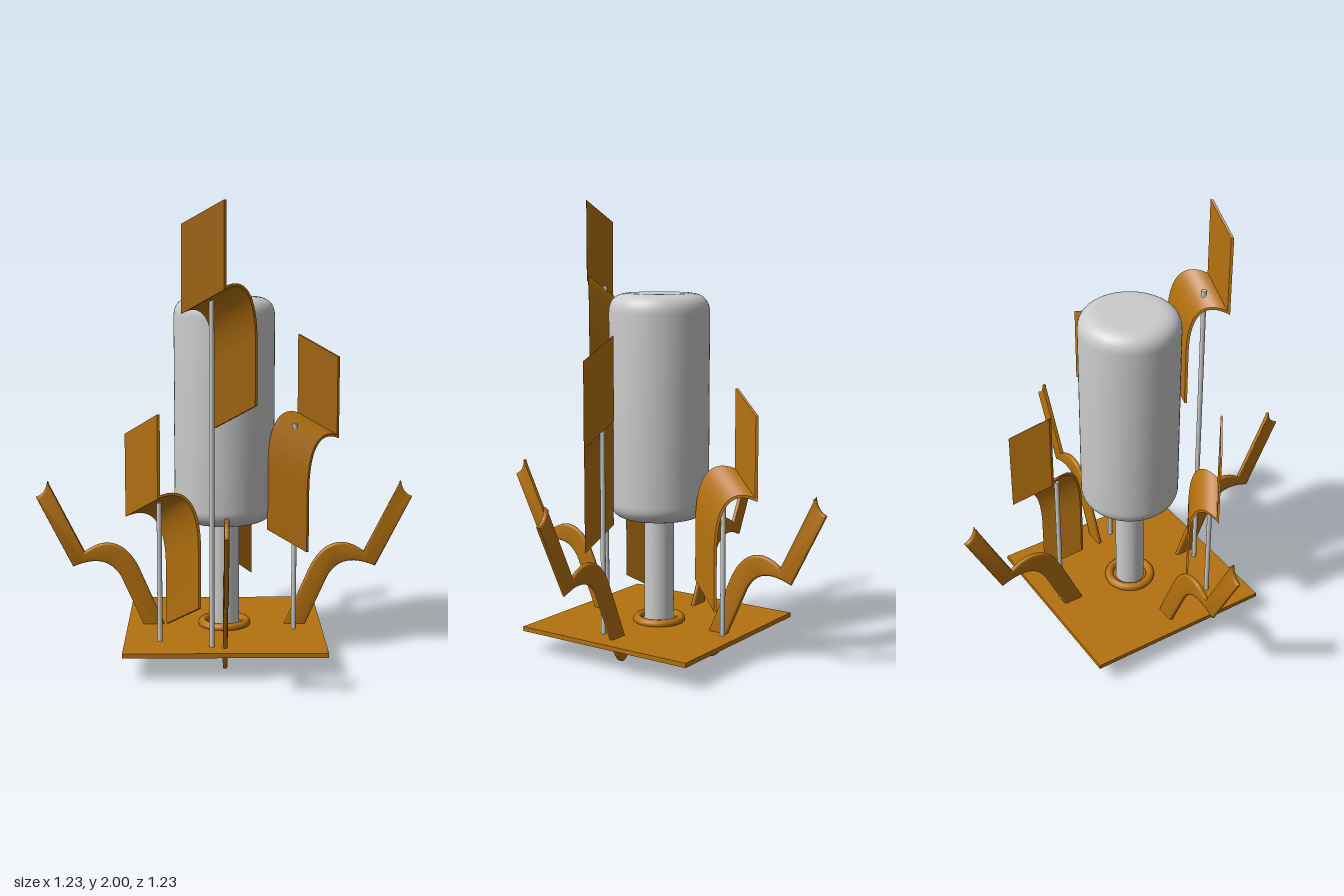
import * as THREE from 'three';
import { toCreasedNormals } from 'three/addons/utils/BufferGeometryUtils.js';

const grey = new THREE.MeshStandardMaterial({ color: 0xcccccc });
const amber = new THREE.MeshStandardMaterial({ color: 0xb5720f });
const V2 = (x, y) => new THREE.Vector2(x, y);

function add(parent, name, geometry, material) {
  const mesh = new THREE.Mesh(geometry, material);
  mesh.name = name;
  parent.add(mesh);
  return mesh;
}

// Closed outline of a path given a constant thickness, with mitred corners
function thickOutline(path, t) {
  const side = (sign) => path.map((p, i) => {
    const a = path[Math.max(i - 1, 0)], b = path[Math.min(i + 1, path.length - 1)];
    const u = (i ? p.clone().sub(a) : b.clone().sub(p)).normalize();
    const v = (i < path.length - 1 ? b.clone().sub(p) : u.clone()).normalize();
    const n = V2(-u.y - v.y, u.x + v.x).normalize();
    const miter = Math.max(0.5, -u.y * n.x + u.x * n.y);
    return p.clone().addScaledVector(n, sign * t / 2 / miter);
  });
  return new THREE.Shape([...side(1), ...side(-1).reverse()]);
}

// Hooked vane: hanging blade, arch, sharp fold, upright flag; swept obliquely
function vaneGeometry() {
  const s = 0.175;
  const arch = new THREE.CubicBezierCurve(V2(-s, -0.24), V2(-s, -0.02), V2(-0.1, 0.035), V2(0, -0.003));
  const path = [V2(-s, -0.5), ...arch.getPoints(20), V2(0, 0.35)];
  const geo = new THREE.ExtrudeGeometry(thickOutline(path, 0.012), { depth: 1, bevelEnabled: false });
  const a = THREE.MathUtils.degToRad(46.5);
  geo.applyMatrix4(new THREE.Matrix4().makeBasis(
    new THREE.Vector3(1, 0, 0),
    new THREE.Vector3(0, 1, 0),
    new THREE.Vector3(0.175 * Math.cos(a), -0.097, 0.175 * Math.sin(a))));
  return toCreasedNormals(geo, 0.6);
}

// Flat curved leg lying in a radial plane, with a rounded foot and notched tip
function legGeometry() {
  const k = Math.SQRT2;
  const shape = new THREE.Shape();
  shape.moveTo(0.17 * k, 0.05);
  shape.lineTo(0.268 * k, 0.37);
  shape.bezierCurveTo(0.305 * k, 0.49, 0.37 * k, 0.535, 0.443 * k, 0.455);
  shape.lineTo(0.558 * k, 0.778);
  shape.quadraticCurveTo(0.562 * k, 0.72, 0.594 * k, 0.705);
  shape.lineTo(0.48 * k, 0.387);
  shape.bezierCurveTo(0.41 * k, 0.43, 0.36 * k, 0.42, 0.328 * k, 0.34);
  shape.lineTo(0.236 * k, 0.05);
  shape.quadraticCurveTo(0.222 * k, 0.01, 0.2 * k, 0.003);
  shape.quadraticCurveTo(0.172 * k, 0.015, 0.17 * k, 0.05);
  const geo = new THREE.ExtrudeGeometry(shape, {
    depth: 0.008, curveSegments: 14, bevelThickness: 0.006, bevelSize: 0.01, bevelOffset: -0.01, bevelSegments: 2,
  });
  geo.translate(0, 0, -0.004);
  return toCreasedNormals(geo, 0.8);
}

export function createModel() {
  const model = new THREE.Group();
  model.name = 'sculpture';

  // Square base plate turned on its corner
  const plate = add(model, 'basePlate', new THREE.BoxGeometry(0.87, 0.02, 0.87), amber);
  plate.position.y = 0.11;
  plate.rotation.y = Math.PI / 4;

  // Collar ring and the boss that closes it from below
  const collar = add(model, 'collarRing', new THREE.TorusGeometry(0.098, 0.02, 12, 48), amber);
  collar.rotation.x = Math.PI / 2;
  collar.position.y = 0.128;
  const boss = add(model, 'collarBoss', new THREE.SphereGeometry(0.11, 40, 16), amber);
  boss.scale.y = 0.15;
  boss.position.y = 0.112;

  // Rounded canister on its neck
  const body = new THREE.Path();
  body.moveTo(0, 0.6);
  body.lineTo(0.14, 0.6);
  body.bezierCurveTo(0.19, 0.6, 0.222, 0.63, 0.222, 0.675);
  body.lineTo(0.222, 1.51);
  body.bezierCurveTo(0.222, 1.565, 0.19, 1.595, 0.13, 1.595);
  body.lineTo(0, 1.595);
  add(model, 'canister', toCreasedNormals(new THREE.LatheGeometry(body.getPoints(10), 64), 0.6), grey);
  const neck = add(model, 'neck', new THREE.CylinderGeometry(0.066, 0.066, 0.5, 40), grey);
  neck.position.y = 0.36;

  // Four curved legs through the plate
  const leg = legGeometry();
  for (let i = 0; i < 4; i++) {
    add(model, 'leg' + (i + 1), leg, amber).rotation.y = Math.PI / 4 + i * Math.PI / 2;
  }

  // Vanes on rods: fold position, heading in degrees, rod x and z
  const vanes = [
    { name: 'frontLeftVane', at: [0.283, 1.65, 0.285], heading: 94, rod: [0.2, 0.28] },
    { name: 'frontVane', at: [0.01, 0.765, 0.407], heading: 124, rod: [-0.02, 0.378] },
    { name: 'backRightVane', at: [-0.285, 0.852, -0.28], heading: 208, rod: [-0.23, -0.28] },
    { name: 'backLeftVane', at: [0.235, 1.08, -0.23], heading: 277, rod: [0.275, -0.16] },
  ];
  const vane = vaneGeometry();
  for (const { name, at, heading, rod } of vanes) {
    const mesh = add(model, name, vane, amber);
    mesh.position.set(...at);
    mesh.rotation.y = -THREE.MathUtils.degToRad(heading);
    const top = at[1] - 0.035, bottom = 0.098;
    const post = add(model, name + 'Rod', new THREE.CylinderGeometry(0.011, 0.011, top - bottom, 16), grey);
    post.position.set(rod[0], (top + bottom) / 2, rod[1]);
  }
  return model;
}
